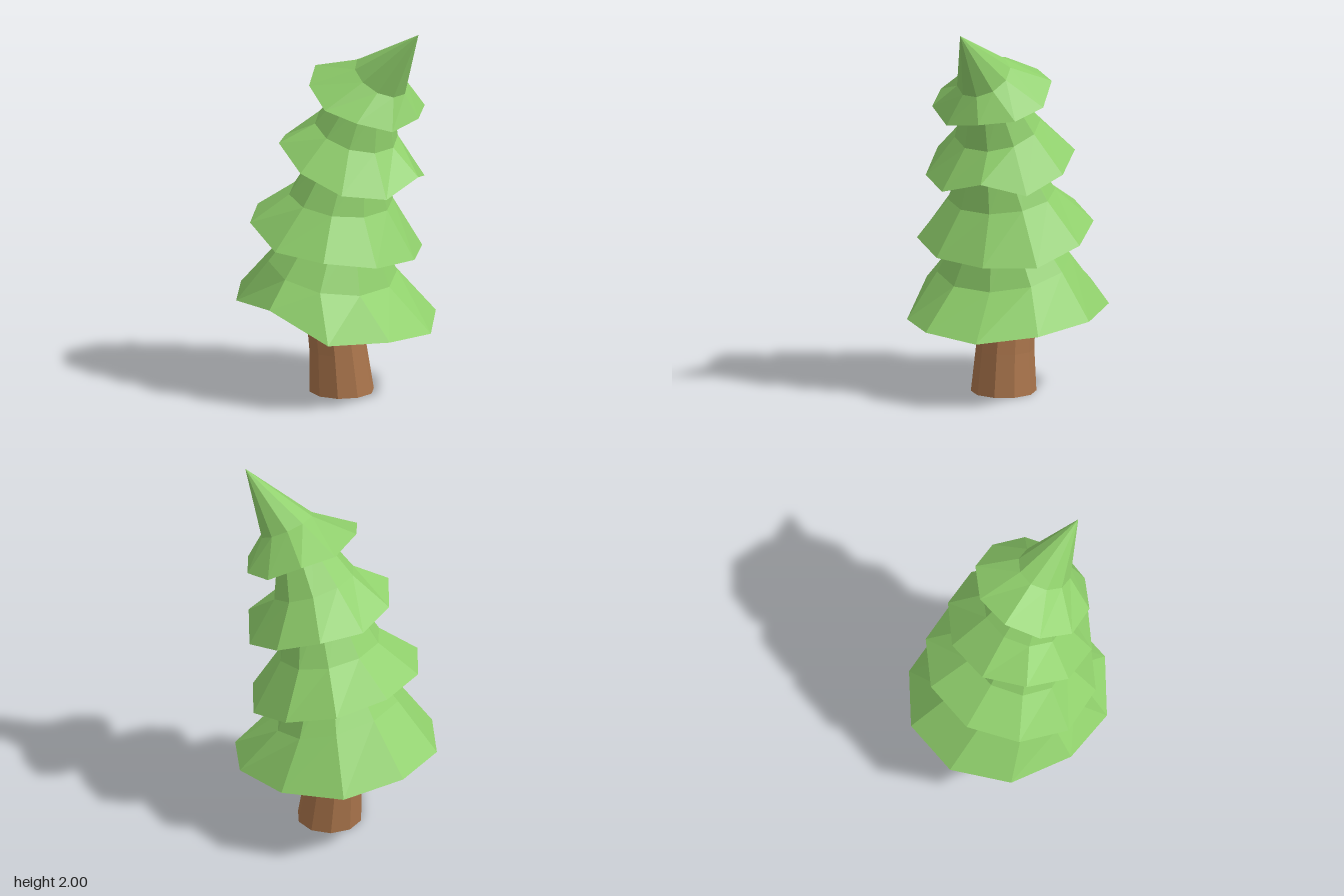
import * as THREE from 'three';

const SIDES = 10;

// Ellipse of points, starting at the back and turning towards +x; slope tilts it along x
function ring([cx, cy, cz], rx, rz = rx, slope = 0) {
  return Array.from({ length: SIDES }, (_, i) => {
    const a = (i / SIDES) * Math.PI * 2;
    const dx = Math.sin(a) * rx;
    return [cx + dx, cy + dx * slope, cz - Math.cos(a) * rz];
  });
}

const point = (p) => Array(SIDES).fill(p);

// Faceted skin through rings ordered from bottom to top (a ring may be a single point)
function loft(rings, name, material) {
  const pos = [];
  for (let k = 0; k < rings.length - 1; k++) {
    const a = rings[k], b = rings[k + 1];
    for (let i = 0; i < SIDES; i++) {
      const j = (i + 1) % SIDES;
      if (a[i] !== a[j]) pos.push(...a[j], ...a[i], ...b[i]);
      if (b[i] !== b[j]) pos.push(...a[j], ...b[i], ...b[j]);
    }
  }
  const geo = new THREE.BufferGeometry();
  geo.setAttribute('position', new THREE.Float32BufferAttribute(pos, 3));
  geo.computeVertexNormals();
  const mesh = new THREE.Mesh(geo, material);
  mesh.name = name;
  return mesh;
}

// One tier: shallow hollow underside, jagged elliptical rim, then the narrower rings above
function tier(name, [cx, cz, rx, rz], heights, upper, material) {
  const hubY = heights.reduce((sum, y) => sum + y, 0) / SIDES + 0.05;
  const rim = ring([cx, 0, cz], rx, rz).map(([x, , z], i) => [x, heights[i], z]);
  return loft([point([cx, hubY, cz]), rim, ...upper], name, material);
}

export function createModel() {
  const tree = new THREE.Group();
  tree.name = 'leaningPineTree';
  const bark = new THREE.MeshStandardMaterial({ color: 0xa8734a, flatShading: true });
  const needles = new THREE.MeshStandardMaterial({ color: 0x8fcf6b, flatShading: true });

  // Bent, tapering trunk, closed below
  tree.add(loft([
    point([0.03, 0, 0.01]),
    ring([0.03, 0, 0.01], 0.17),
    ring([0.01, 0.22, 0.015], 0.152),
    ring([-0.04, 0.56, 0.02], 0.142),
  ], 'trunk', bark));

  // Foliage, from the widest tier up to the bent tip
  tree.add(tier('bottomTier', [-0.01, 0.01, 0.55, 0.51],
    [0.43, 0.4, 0.365, 0.385, 0.38, 0.53, 0.5, 0.51, 0.51, 0.45],
    [ring([-0.01, 0.67, 0.035], 0.31, 0.365, -0.28), ring([0.03, 0.93, 0.03], 0.17, 0.18, -0.35)],
    needles));
  tree.add(tier('lowerMiddleTier', [0, 0.02, 0.44, 0.467],
    [0.83, 0.75, 0.75, 0.765, 0.81, 0.84, 0.93, 0.95, 0.95, 0.9],
    [ring([0.035, 1.05, 0.02], 0.255, 0.29, -0.2), ring([0.1, 1.3, 0.02], 0.15, 0.17, -0.4)],
    needles));
  tree.add(tier('upperMiddleTier', [0.085, -0.007, 0.375, 0.393],
    [1.22, 1.14, 1.2, 1.13, 1.165, 1.26, 1.365, 1.34, 1.31, 1.3],
    [ring([0.115, 1.42, -0.01], 0.205, 0.23, -0.39), ring([0.2, 1.63, -0.01], 0.11, 0.14, -0.5)],
    needles));
  tree.add(tier('topTier', [0.18, -0.02, 0.285, 0.322],
    [1.59, 1.54, 1.52, 1.49, 1.55, 1.6, 1.69, 1.745, 1.71, 1.69],
    [ring([0.27, 1.73, -0.03], 0.135, 0.14, -0.6), point([0.515, 2, -0.05])],
    needles));
  return tree;
}
